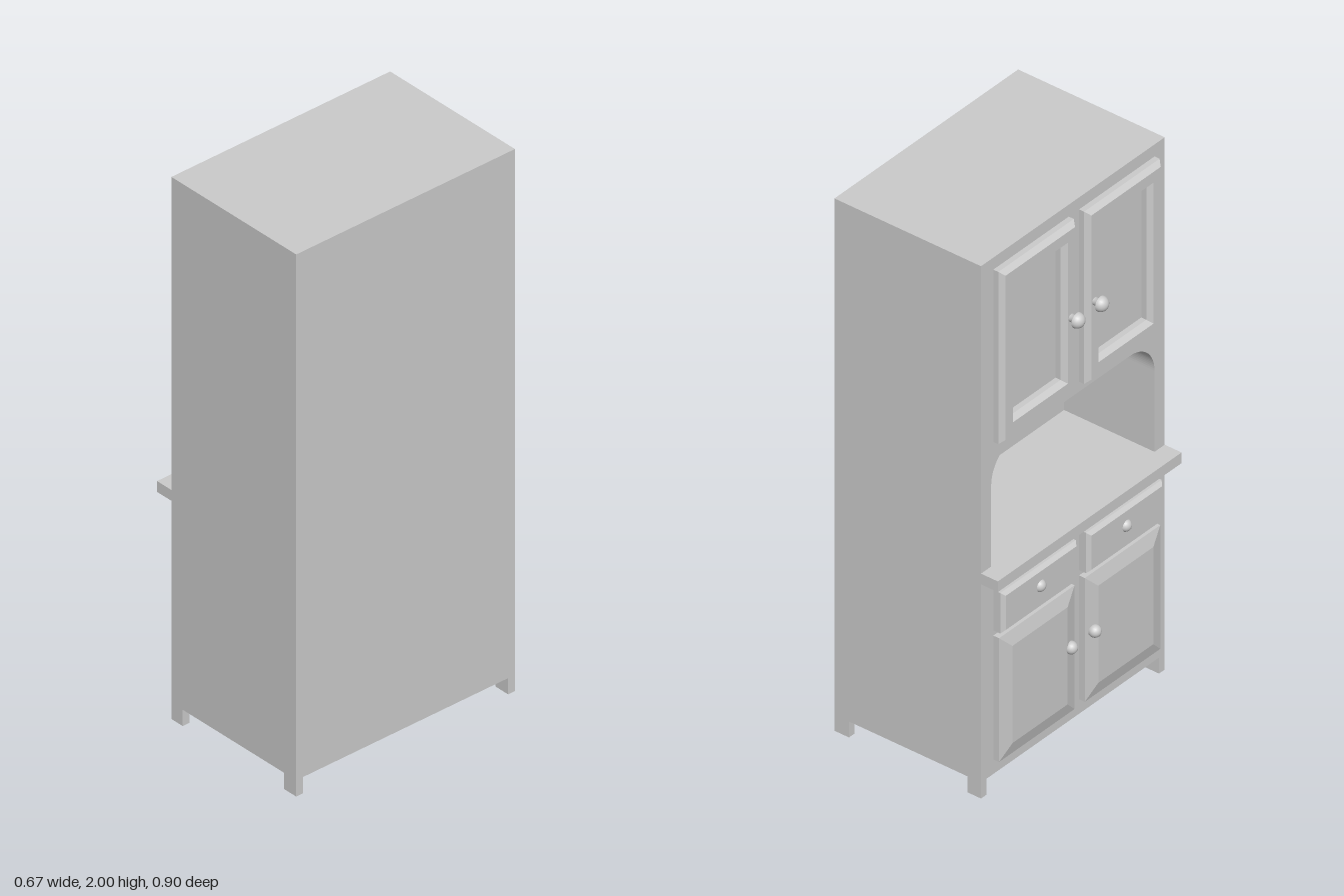
import * as THREE from 'three';

const material = new THREE.MeshStandardMaterial({ color: 0xcccccc });
const W = 0.9, FRONT = 0.25, BACK = -0.333, BASE = 0.06, TOP = 2;

function add(parent, name, geometry, x = 0, y = 0, z = 0) {
  const mesh = new THREE.Mesh(geometry, material);
  mesh.name = name;
  mesh.position.set(x, y, z);
  parent.add(mesh);
  return mesh;
}

// Box given by its lower and upper corners
function box(parent, name, [x0, y0, z0], [x1, y1, z1]) {
  return add(parent, name, new THREE.BoxGeometry(x1 - x0, y1 - y0, z1 - z0),
    (x0 + x1) / 2, (y0 + y1) / 2, (z0 + z1) / 2);
}

function rect(Type, x0, y0, x1, y1) {
  return new Type([[x0, y0], [x1, y0], [x1, y1], [x0, y1]].map(p => new THREE.Vector2(...p)));
}

// Panel lying on the cabinet front, chamfered from z = edge out to z = face
function panel(parent, name, shape, edge, face, chamfer) {
  const t = face - edge, start = FRONT - t / 2;
  const geometry = new THREE.ExtrudeGeometry(shape, {
    depth: edge - start, bevelEnabled: true, bevelThickness: t,
    bevelSize: chamfer, bevelOffset: -chamfer, bevelSegments: 1,
  });
  return add(parent, name, geometry, 0, 0, start);
}

// Knob turned from a half profile of [radius, distance from door]
function knob(parent, name, profile, x, y, z) {
  const geometry = new THREE.LatheGeometry(profile.map(p => new THREE.Vector2(...p)), 20);
  geometry.rotateX(Math.PI / 2);
  return add(parent, name, geometry, x, y, z);
}

function arc(radius, offset, from) {
  return Array.from({ length: 9 }, (_, i) => {
    const a = from + (Math.PI / 2 - from) * i / 8;
    return [Math.max(radius * Math.cos(a), 0), offset + radius * Math.sin(a)];
  });
}

export function createModel() {
  const model = new THREE.Group();
  model.name = 'kitchenCupboard';
  const cupboard = new THREE.Group();
  cupboard.name = 'cupboard';
  model.add(cupboard);

  // Front part of the carcass, pierced by the arched niche
  const nicheDepth = 0.36, nx = 0.4, ny0 = 0.83, ny1 = 1.27, r = 0.12;
  const carcass = rect(THREE.Shape, -W / 2, BASE, W / 2, TOP);
  const niche = new THREE.Path();
  niche.moveTo(-nx, ny0);
  niche.lineTo(nx, ny0);
  niche.lineTo(nx, ny1 - r);
  niche.absarc(nx - r, ny1 - r, r, 0, Math.PI / 2, false);
  niche.lineTo(-nx + r, ny1);
  niche.absarc(-nx + r, ny1 - r, r, Math.PI / 2, Math.PI, false);
  niche.closePath();
  carcass.holes.push(niche);
  add(cupboard, 'carcass', new THREE.ExtrudeGeometry(carcass, {
    depth: nicheDepth, bevelEnabled: false, curveSegments: 12,
  }), 0, 0, FRONT - nicheDepth);
  box(cupboard, 'carcassBack', [-W / 2, BASE, BACK], [W / 2, TOP, FRONT - nicheDepth]);

  // Worktop, running into the niche
  box(cupboard, 'worktopLip', [-W / 2, 0.805, FRONT], [W / 2, 0.845, 0.317]);
  box(cupboard, 'worktop', [-nx, 0.805, FRONT - nicheDepth], [nx, 0.845, FRONT]);

  // Feet
  for (const s of [-1, 1]) {
    const x0 = s < 0 ? -W / 2 : W / 2 - 0.028;
    box(cupboard, 'frontFoot', [x0, 0, 0.197], [x0 + 0.028, BASE, FRONT]);
    box(cupboard, 'backFoot', [x0, 0, BACK], [x0 + 0.028, BASE, -0.275]);
  }

  // Doors, drawers and knobs on each side of the middle
  const stemKnob = [[0.014, 0], [0.014, 0.023], [0.027, 0.023], ...arc(0.027, 0.023, 0)];
  const roundKnob = arc(0.022, 0, -0.4);
  const fronts = new THREE.Group();
  fronts.name = 'doorsAndDrawers';
  fronts.position.x = 0.005;
  cupboard.add(fronts);
  for (const s of [-1, 1]) {
    const a = s < 0 ? -0.395 : 0.025, b = a + 0.37;

    const frame = rect(THREE.Shape, a, 1.308, b, 1.955);
    frame.holes.push(rect(THREE.Path, a + 0.065, 1.385, b - 0.065, 1.885));
    panel(fronts, 'upperDoorFrame', frame, 0.27, 0.287, 0.015);
    knob(fronts, 'upperDoorKnob', stemKnob, s * 0.058, 1.61, 0.286);

    panel(fronts, 'drawer', rect(THREE.Shape, a, 0.6, b, 0.752), 0.278, 0.29, 0.012);
    knob(fronts, 'drawerKnob', roundKnob, (a + b) / 2, 0.685, 0.283);

    panel(fronts, 'lowerDoor', rect(THREE.Shape, a, 0.115, b, 0.58), 0.273, 0.286, 0.05);
    knob(fronts, 'lowerDoorKnob', roundKnob, s * 0.058, 0.37, 0.286);
  }

  // Turn the door side toward -x
  cupboard.rotation.y = -Math.PI / 2;
  return model;
}
